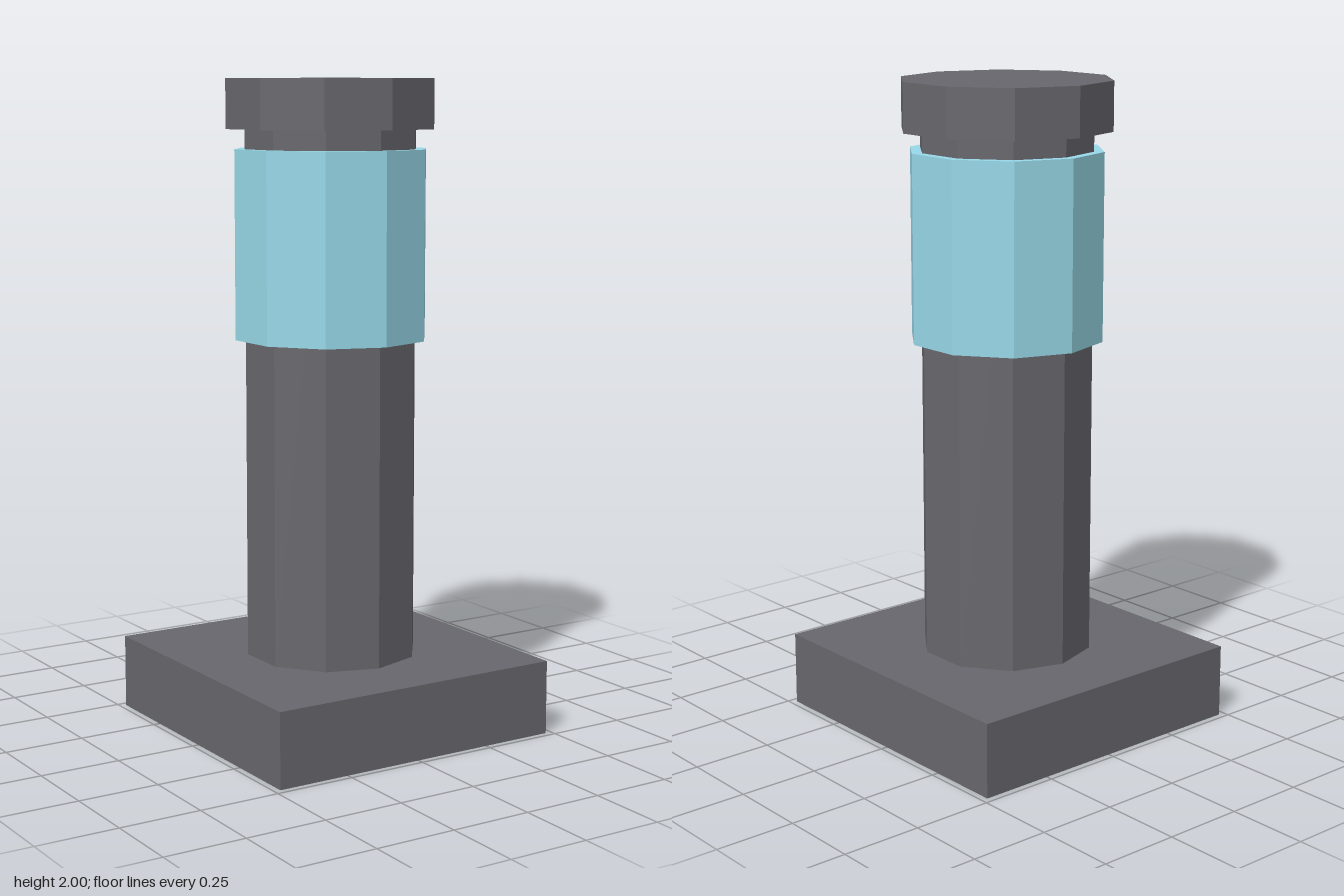
import * as THREE from 'three';

const SIDES = 10;

export function createModel() {
  const group = new THREE.Group();
  const dark = new THREE.MeshStandardMaterial({ color: 0x68676d, flatShading: true });
  const blue = new THREE.MeshStandardMaterial({ color: 0x98d8e8, flatShading: true });

  const add = (name, geometry, material, y0, y1) => {
    const mesh = new THREE.Mesh(geometry, material);
    mesh.name = name;
    mesh.position.y = (y0 + y1) / 2;
    group.add(mesh);
  };

  // Ten-sided upright prism between two heights
  const prism = (name, radius, y0, y1, material) =>
    add(name, new THREE.CylinderGeometry(radius, radius, y1 - y0, SIDES), material, y0, y1);

  // Square foot plate
  add('base', new THREE.BoxGeometry(0.96, 0.23, 0.96), dark, 0, 0.23);

  // Post with its coloured band and wider cap
  prism('post', 0.268, 0.23, 1.85, dark);
  prism('band', 0.3, 1.215, 1.79, blue);
  prism('cap', 0.326, 1.85, 2, dark);

  return group;
}
